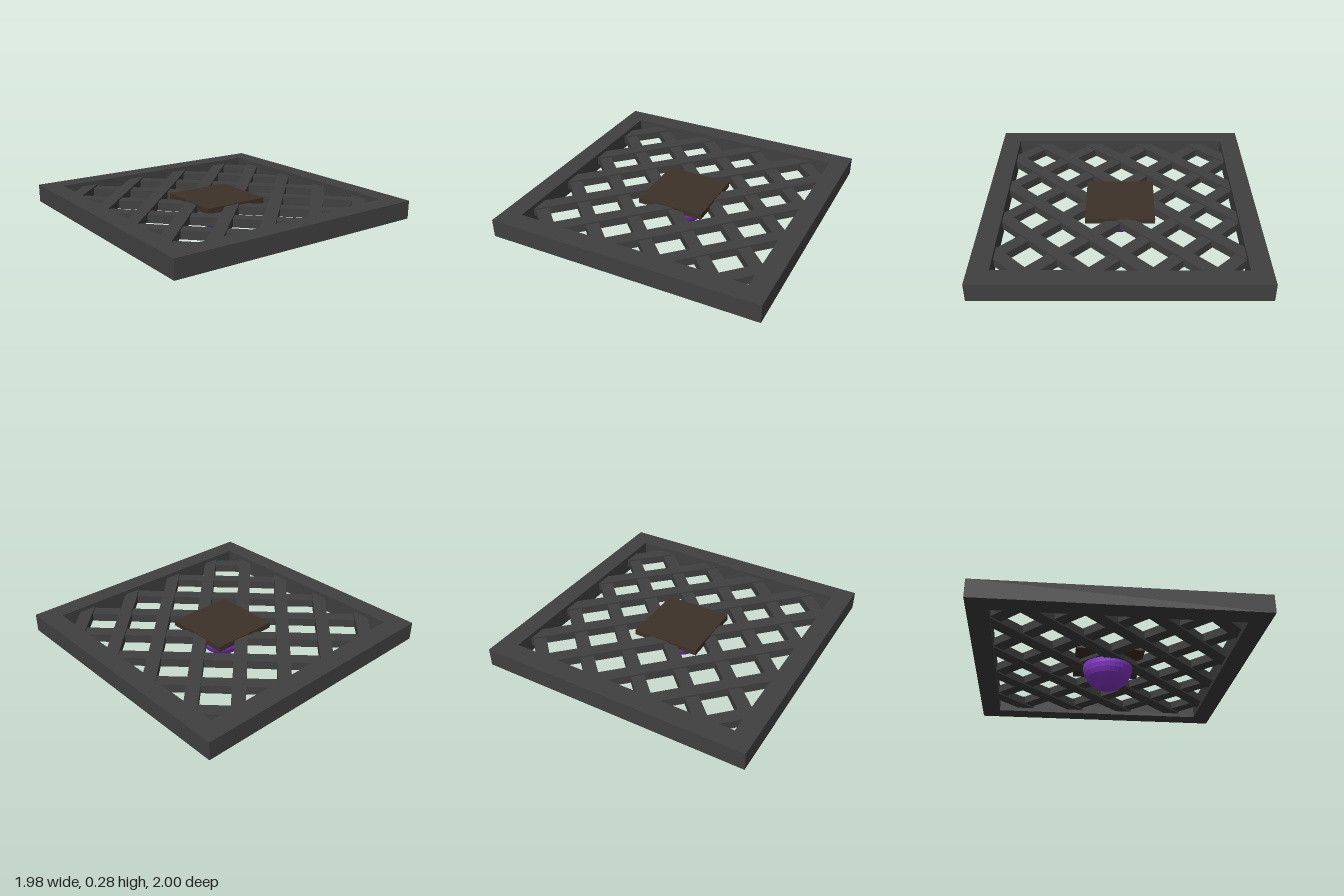
import * as THREE from 'three';

const material = (color, flatShading = false) => new THREE.MeshStandardMaterial({ color, flatShading });

// Outer and inner half sizes of the frame
const OUT_X = 0.99, OUT_Z = 1.0, IN_X = 0.845, IN_Z = 0.857;
const FRAME_BOTTOM = 0.145, FRAME_HEIGHT = 0.135;

function rectangle(PathType, hx, hy) {
  const path = new PathType();
  path.moveTo(-hx, -hy).lineTo(hx, -hy).lineTo(hx, hy).lineTo(-hx, hy).closePath();
  return path;
}

export function createModel() {
  const model = new THREE.Group();
  const iron = material(0x404040);

  const add = (name, geometry, mat, x, y, z, parent = model) => {
    const mesh = new THREE.Mesh(geometry, mat);
    mesh.name = name;
    mesh.position.set(x, y, z);
    parent.add(mesh);
    return mesh;
  };

  // Square frame with an open middle
  const outline = rectangle(THREE.Shape, OUT_X, OUT_Z);
  outline.holes.push(rectangle(THREE.Path, IN_X, IN_Z));
  const frame = new THREE.ExtrudeGeometry(outline, { depth: FRAME_HEIGHT, bevelEnabled: false });
  frame.rotateX(-Math.PI / 2);
  add('frame', frame, iron, 0, FRAME_BOTTOM, 0);

  // Diagonal lattice, two crossing sets of bars whose ends run into the frame
  const step = 0.2115, barWidth = 0.094, barHeight = 0.062;
  const lattice = new THREE.Group();
  lattice.name = 'lattice';
  model.add(lattice);
  for (const side of [1, -1]) {
    for (let i = -7; i <= 7; i += 2) {
      const c = i * step;
      const x0 = Math.max(-IN_X, c - IN_Z);
      const x1 = Math.min(IN_X, c + IN_Z);
      const length = (x1 - x0) * Math.SQRT2 + 0.1;
      const x = (x0 + x1) / 2;
      const bar = add('latticeBar', new THREE.BoxGeometry(length, barHeight, barWidth), iron,
        x, 0.2125 + side * 0.006, side * (x - c), lattice);
      bar.rotation.y = -side * Math.PI / 4;
    }
  }

  // Plate in the middle of the lattice
  add('centrePlate', new THREE.BoxGeometry(0.505, 0.042, 0.505), material(0x3e3228), 0, 0.236, 0);

  // Domed lamp hanging under the plate
  const dome = new THREE.SphereGeometry(0.19, 32, 8, 0, Math.PI * 2, Math.PI / 2, Math.PI / 2);
  const purple = material(0x8e3cd6, true);
  purple.side = THREE.DoubleSide;
  add('lampDome', dome, purple, 0, 0.19, 0);

  return model;
}
